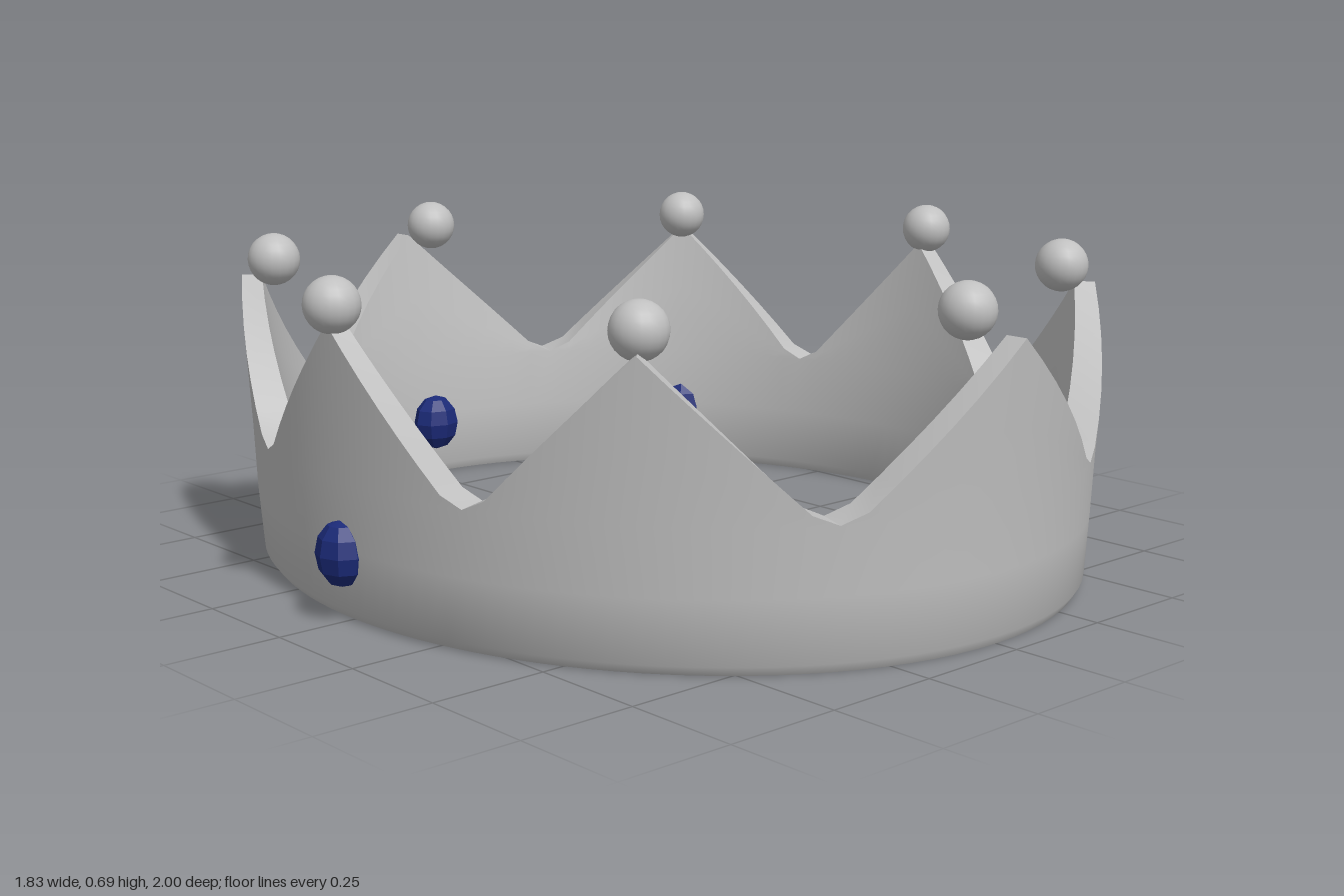
import * as THREE from 'three';
import { toCreasedNormals } from 'three/addons/utils/BufferGeometryUtils.js';

const SPIKES = 8, STEPS = 14;            // ring columns per spike
const BAND_TOP = 0.285, PEAK = 0.6;

const silver = new THREE.MeshStandardMaterial({ color: 0xc0c0c0 });
silver.name = 'silver';
const sapphire = new THREE.MeshStandardMaterial({ color: 0x1b2a78 });
sapphire.name = 'sapphire';

// height of the crown's upper edge: straight-sided spikes with short flat valleys
function edgeHeight(column) {
  const k = (column + STEPS / 2) % STEPS - STEPS / 2;
  const t = Math.abs(k) / (STEPS / 2);
  return BAND_TOP + (PEAK - BAND_TOP) * Math.max(0, 1 - t / 0.92);
}

// point at a polar angle on an oval with half-axes a (x) and b (z)
function ovalPoint(angle, a, b, y) {
  const s = Math.sin(angle), c = Math.cos(angle);
  const r = 1 / Math.hypot(s / a, c / b);
  return [r * s, y, r * c];
}

// cross-section of the wall, up the outside and down the inside: [a, b, y]
function wallSection(h) {
  const f = (h - BAND_TOP) / (PEAK - BAND_TOP);
  const lerp = THREE.MathUtils.lerp;
  const outer = t => [lerp(0.857, 0.872, t), lerp(0.975, 1.0, t), lerp(BAND_TOP, PEAK, t)];
  const inner = t => [lerp(0.78, 0.83, t), lerp(0.9, 0.952, t), lerp(BAND_TOP, PEAK, t)];
  return [
    [0.825, 0.95, 0], [0.84, 0.962, 0.02], [0.852, 0.968, 0.15],
    outer(0), outer(f / 2), outer(f),
    inner(f), inner(f / 2), inner(0),
    [0.772, 0.892, 0.15], [0.775, 0.89, 0.02], [0.785, 0.9, 0],
  ];
}

function crownGeometry() {
  const columns = SPIKES * STEPS, positions = [], index = [];
  let n = 0;
  for (let j = 0; j < columns; j++) {
    const section = wallSection(edgeHeight(j));
    n = section.length;
    for (const [a, b, y] of section) positions.push(...ovalPoint(j / columns * Math.PI * 2, a, b, y));
  }
  for (let j = 0; j < columns; j++) {
    const k = (j + 1) % columns;
    for (let i = 0; i < n; i++) {
      const m = (i + 1) % n;
      index.push(j * n + i, k * n + i, k * n + m, j * n + i, k * n + m, j * n + m);
    }
  }
  const geometry = new THREE.BufferGeometry();
  geometry.setAttribute('position', new THREE.Float32BufferAttribute(positions, 3));
  geometry.setIndex(index);
  return toCreasedNormals(geometry, 0.6);
}

export function createModel() {
  const model = new THREE.Group();
  model.name = 'crown';

  const add = (name, geometry, material, position) => {
    const mesh = new THREE.Mesh(geometry, material);
    mesh.name = name;
    if (position) mesh.position.set(...position);
    model.add(mesh);
    return mesh;
  };

  // band and spikes in one wall
  add('spikedBand', crownGeometry(), silver);

  // a ball above and a gem below each spike, both set on a true circle
  const ball = new THREE.SphereGeometry(0.057, 20, 14);
  const gem = toCreasedNormals(new THREE.SphereGeometry(0.058, 8, 6), 0.4);
  gem.scale(1, 1.17, 0.85);
  for (let i = 0; i < SPIKES; i++) {
    const angle = i / SPIKES * Math.PI * 2;
    add('spikeBall' + (i + 1), ball, silver, ovalPoint(angle, 0.857, 0.857, 0.635));
    add('gem' + (i + 1), gem, sapphire, ovalPoint(angle, 0.853, 0.853, 0.14)).rotation.y = angle;
  }
  return model;
}
